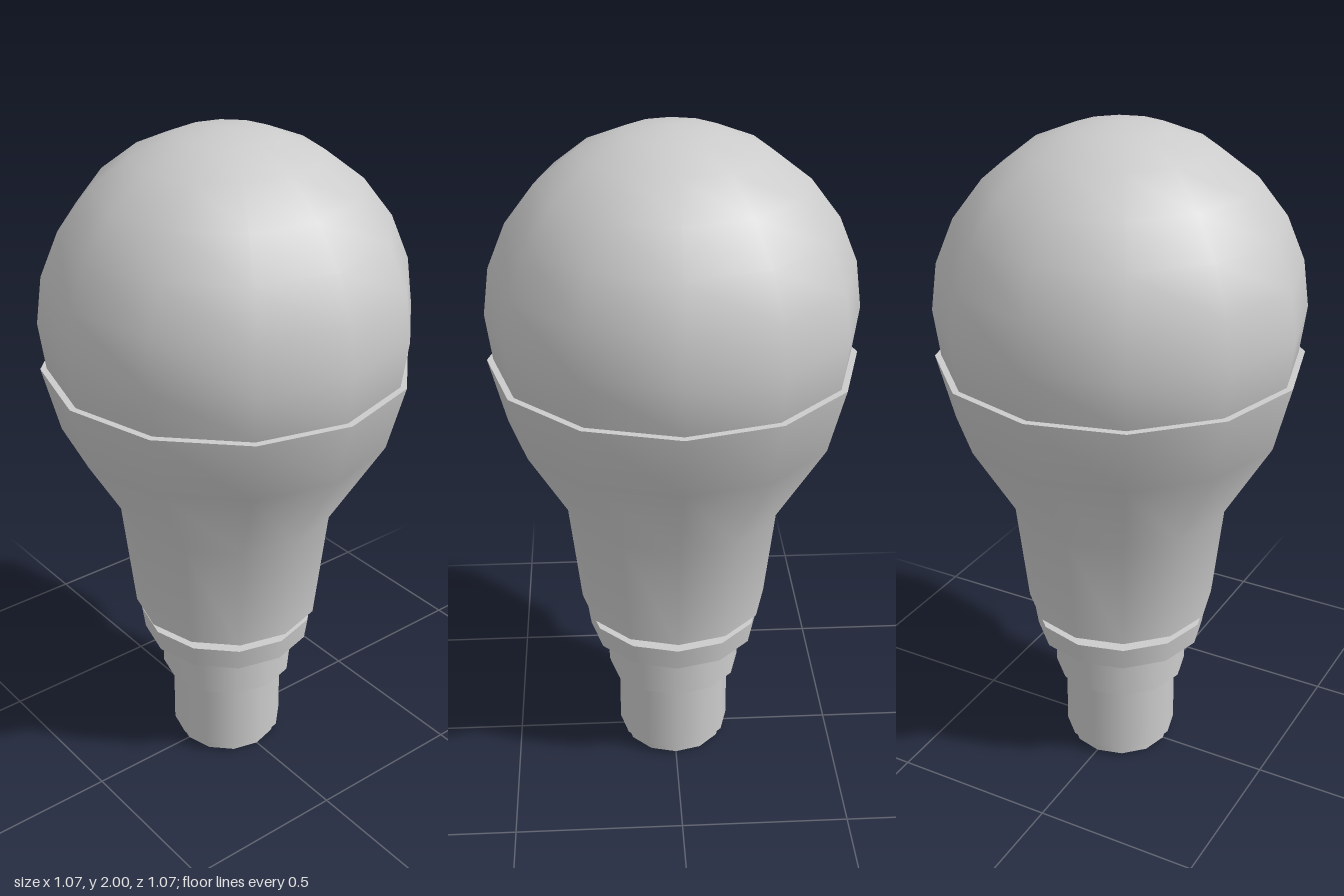
import * as THREE from 'three';

const SIDES = 12;
const material = new THREE.MeshStandardMaterial({ color: 0xcccccc });

export function createModel() {
  const bulb = new THREE.Group();
  bulb.name = 'lightBulb';

  const add = (name, geometry, parent = bulb) => {
    const mesh = new THREE.Mesh(geometry, material);
    mesh.name = name;
    parent.add(mesh);
    return mesh;
  };
  // Surface turned from [radius, height] points, bottom to top
  const turn = (points) =>
    new THREE.LatheGeometry(points.map(([r, y]) => new THREE.Vector2(r, y)), SIDES);
  // Capped drum between two heights
  const drum = (name, rBottom, rTop, y0, y1) => {
    add(name, new THREE.CylinderGeometry(rTop, rBottom, y1 - y0, SIDES)).position.y = (y0 + y1) / 2;
  };

  // Globe: a little more than a hemisphere, seated in the housing
  const R = 0.535;
  const globe = add('globe',
    new THREE.SphereGeometry(R, SIDES, 7, 0, Math.PI * 2, 0, Math.PI * 7 / 12));
  globe.position.y = 2 - R;

  // Housing: smooth flared wall with a flat rim and a flat underside
  const housing = new THREE.Group();
  housing.name = 'housing';
  bulb.add(housing);
  add('housingWall', turn([[0.285, 0.51], [0.325, 0.86], [0.485, 1.13], [0.535, 1.325]]), housing);
  add('housingRim', turn([[0.535, 1.325], [0.51, 1.325]]), housing);
  add('housingUnderside', turn([[0, 0.51], [0.285, 0.51]]), housing);

  // Stepped base, from the neck down to the contact
  drum('neckRing', 0.243, 0.243, 0.49, 0.51);
  drum('neck', 0.23, 0.23, 0.475, 0.49);
  drum('collar', 0.26, 0.27, 0.405, 0.475);
  drum('upperSleeve', 0.205, 0.205, 0.265, 0.405);
  drum('lowerSleeve', 0.173, 0.173, 0.03, 0.265);
  drum('contact', 0.157, 0.157, 0, 0.03);

  return bulb;
}
